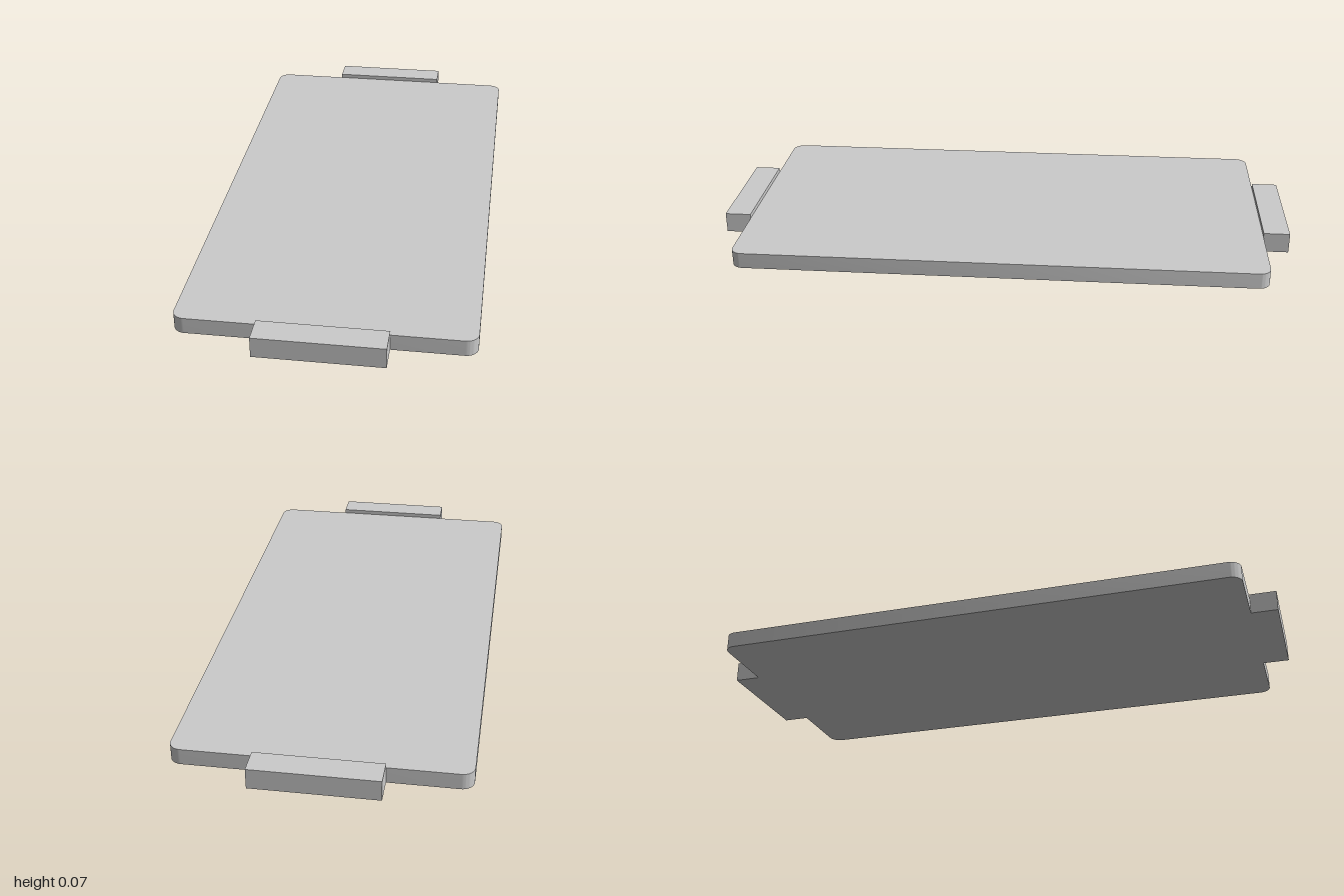
import * as THREE from 'three';
import { toCreasedNormals } from 'three/addons/utils/BufferGeometryUtils.js';

const HALF_W = 0.475, HALF_L = 0.91, THICKNESS = 0.055, RADIUS = 0.04;
const HANDLE_W = 0.414, HANDLE_H = 0.07;

// Rounded rectangle centred on the origin
function roundedRect(w, l, r) {
  const s = new THREE.Shape();
  s.absarc(w - r, l - r, r, 0, Math.PI / 2);
  s.absarc(-w + r, l - r, r, Math.PI / 2, Math.PI);
  s.absarc(-w + r, -l + r, r, Math.PI, Math.PI * 1.5);
  s.absarc(w - r, -l + r, r, Math.PI * 1.5, Math.PI * 2);
  s.closePath();
  return s;
}

export function createModel() {
  const model = new THREE.Group();
  model.name = 'tray';
  const material = new THREE.MeshStandardMaterial({ color: 0xcccccc });

  // Flat board with rounded corners
  const board = new THREE.ExtrudeGeometry(roundedRect(HALF_W, HALF_L, RADIUS), {
    depth: THICKNESS, bevelEnabled: false, curveSegments: 8,
  });
  board.rotateX(-Math.PI / 2);
  const boardMesh = new THREE.Mesh(toCreasedNormals(board, Math.PI / 6), material);
  boardMesh.name = 'board';
  model.add(boardMesh);

  // A block handle at each short end, slightly taller than the board
  const depth = 1 - HALF_L;
  for (const [name, side] of [['frontHandle', 1], ['backHandle', -1]]) {
    const handle = new THREE.Mesh(new THREE.BoxGeometry(HANDLE_W, HANDLE_H, depth), material);
    handle.position.set(0, HANDLE_H / 2, side * (HALF_L + depth / 2));
    handle.name = name;
    model.add(handle);
  }
  return model;
}
